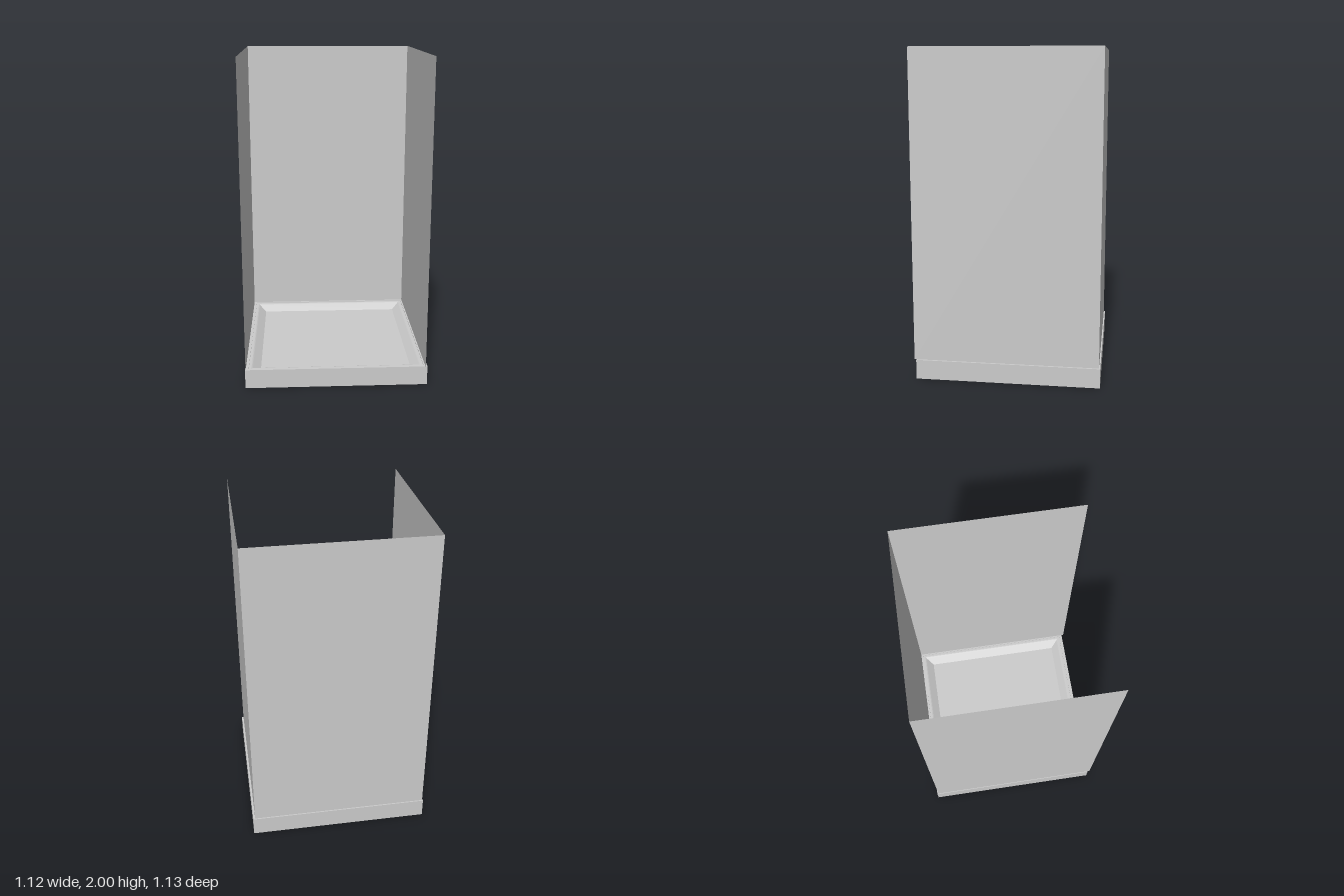
import * as THREE from 'three';

const grey = new THREE.MeshStandardMaterial({ color: 0xcccccc });
const thin = new THREE.MeshStandardMaterial({ color: 0xcccccc, side: THREE.DoubleSide });

// Square tray: a four-sided lathe of [half width, height] points
function squareLathe(profile) {
  const points = profile.map(([half, y]) => new THREE.Vector2(half * Math.SQRT2, y));
  const geometry = new THREE.LatheGeometry(points, 4, Math.PI / 4).toNonIndexed();
  geometry.computeVertexNormals();
  return geometry;
}

// Thin upright panel
function panel(name, width, height, x, y, z, turn) {
  const mesh = new THREE.Mesh(new THREE.PlaneGeometry(width, height), thin);
  mesh.name = name;
  mesh.position.set(x, y, z);
  mesh.rotation.y = turn;
  return mesh;
}

export function createModel() {
  const model = new THREE.Group();
  model.name = 'showerEnclosure';

  // Tray with a raised lip, rounded inner rim and sloped sides down to the floor
  const tray = new THREE.Mesh(squareLathe([
    [0, 0], [0.56, 0], [0.56, 0.12],
    [0.539, 0.12], [0.539, 0.116],
    [0.526, 0.116], [0.522, 0.1152], [0.518, 0.1135], [0.514, 0.111],
    [0.468, 0.077], [0, 0.077],
  ]), grey);
  tray.name = 'showerTray';
  tray.position.z = -0.006;
  model.add(tray);

  // Three walls, open at the front and top
  const left = 0.548, right = -0.556, back = -0.558, front = 0.567;
  const bottom = 0.12, top = 2;
  const height = top - bottom, midY = (top + bottom) / 2;
  const midX = (left + right) / 2, midZ = (front + back) / 2;
  const walls = new THREE.Group();
  walls.name = 'walls';
  walls.add(
    panel('backWall', left - right, height, midX, midY, back, 0),
    panel('leftWall', front - back, height, left, midY, midZ, Math.PI / 2),
    panel('rightWall', front - back, height, right, midY, midZ, -Math.PI / 2),
  );
  model.add(walls);

  return model;
}
